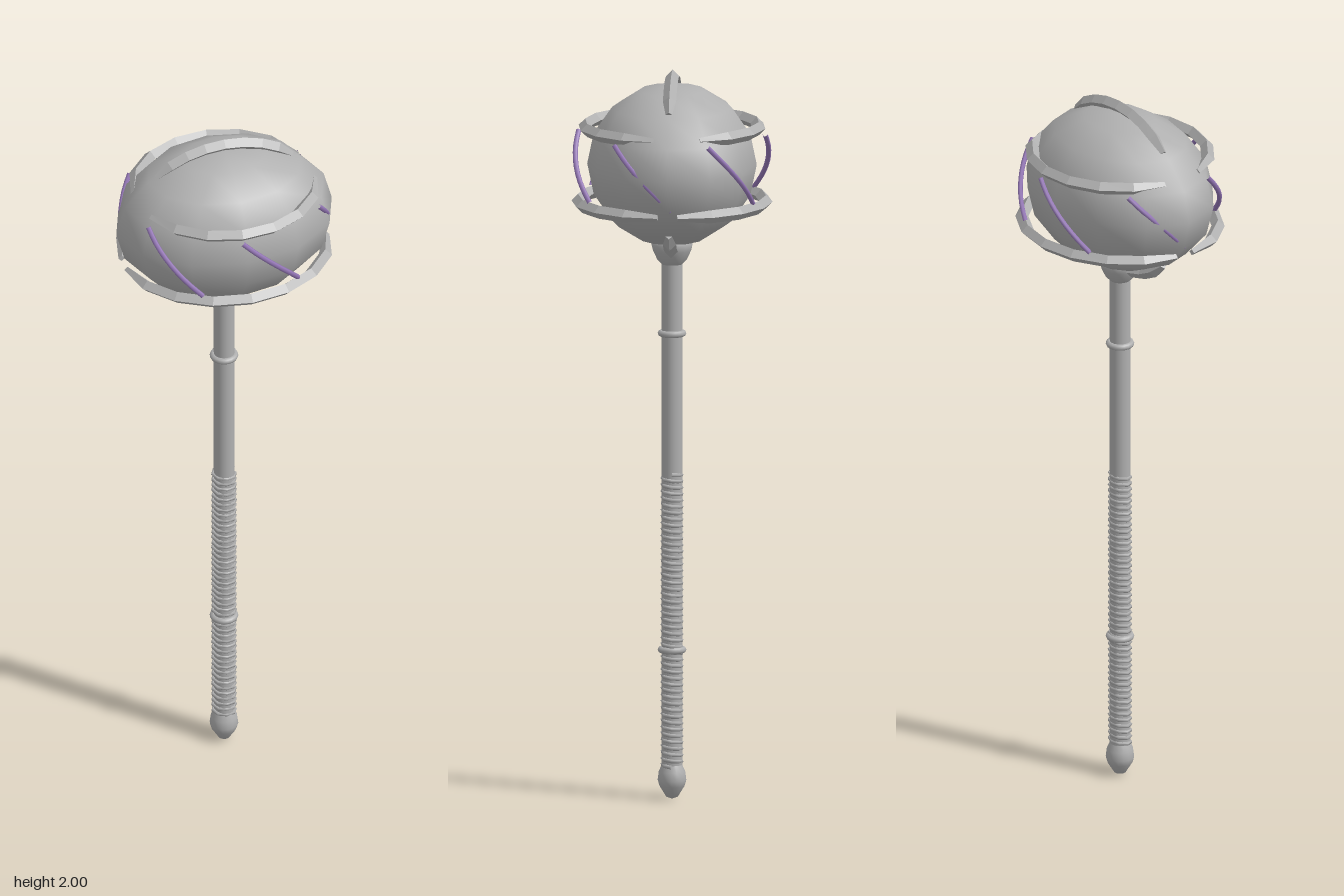
import * as THREE from 'three';

const HEAD_Y = 1.745;

// Ridged band of diamond section along an elliptical arc in the XZ plane (angles from +z, in degrees)
function ridgedArc(a, b, from, to, segments, r = 0.018) {
  const pos = [], idx = [];
  for (let i = 0; i <= segments; i++) {
    const t = THREE.MathUtils.degToRad(from + (to - from) * i / segments);
    const s = Math.sin(t), c = Math.cos(t);
    const w = i === 0 || i === segments ? r * 0.5 : r;
    for (const [out, up] of [[w, 0], [0, w], [-w, 0], [0, -w]]) {
      pos.push((a + out) * s, up, (b + out) * c);
    }
  }
  for (let i = 0; i < segments; i++) {
    for (let k = 0; k < 4; k++) {
      const p = i * 4 + k, q = i * 4 + (k + 1) % 4;
      idx.push(p, p + 4, q, q, p + 4, q + 4);
    }
  }
  const e = segments * 4;
  idx.push(0, 1, 2, 0, 2, 3, e, e + 2, e + 1, e, e + 3, e + 2);
  const indexed = new THREE.BufferGeometry();
  indexed.setAttribute('position', new THREE.Float32BufferAttribute(pos, 3));
  indexed.setIndex(idx);
  const g = indexed.toNonIndexed();
  g.computeVertexNormals();
  return g;
}

function lathe(points, sides = 16) {
  return new THREE.LatheGeometry(points.map(([r, y]) => new THREE.Vector2(r, y)), sides);
}

export function createModel() {
  const model = new THREE.Group();
  model.name = 'mace';
  const steel = new THREE.MeshStandardMaterial({ color: 0xb0b0b0 });
  steel.name = 'steel grey';
  const violet = new THREE.MeshStandardMaterial({ color: 0x9678b8 });
  violet.name = 'violet';

  const add = (name, geometry, material = steel, y = 0, parent = model) => {
    const mesh = new THREE.Mesh(geometry, material);
    mesh.name = name;
    mesh.position.y = y;
    parent.add(mesh);
    return mesh;
  };

  // Handle
  add('shaft', new THREE.CylinderGeometry(0.028, 0.028, 1.45, 16), steel, 0.795);
  add('pommel', lathe([[0, 0], [0.016, 0.006], [0.034, 0.035], [0.039, 0.052], [0.036, 0.075], [0.026, 0.098]]));
  add('collar', lathe([[0.028, 1.47], [0.04, 1.482], [0.052, 1.508], [0.056, 1.525], [0.05, 1.54], [0.03, 1.55]]));
  for (const y of [0.41, 1.28]) {
    const ring = add('handleRing', new THREE.TorusGeometry(0.03, 0.009, 8, 20), steel, y);
    ring.rotation.x = Math.PI / 2;
  }

  // Wound grip, wider across x than z
  const turns = 46, coil = [];
  for (let i = 0; i <= turns * 8; i++) {
    const t = i / 8 * Math.PI * 2;
    coil.push(new THREE.Vector3(0.031 * Math.cos(t), 0.09 + 0.805 * i / (turns * 8), 0.026 * Math.sin(t)));
  }
  add('gripWinding', new THREE.TubeGeometry(new THREE.CatmullRomCurve3(coil), turns * 8, 0.0055, 5));

  // Head
  const head = add('head', new THREE.SphereGeometry(1, 12, 8), steel, HEAD_Y);
  head.scale.set(0.305, 0.22, 0.23);

  // Crest over the head and its twin below
  for (const side of [-1, 1]) {
    const crest = add(side < 0 ? 'topCrest' : 'bottomCrest', ridgedArc(0.27, 0.237, -45, 45, 8), steel, HEAD_Y);
    crest.rotation.x = side * Math.PI / 2;
  }

  // Bands and violet strips, repeated on the back by a half turn
  for (const [name, turn] of [['front', 0], ['back', Math.PI]]) {
    const half = new THREE.Group();
    half.name = name + 'Ornament';
    half.rotation.y = turn;
    model.add(half);
    add('upperBand', ridgedArc(0.247, 0.237, -69, 81, 7), steel, 1.847, half);
    add('lowerBand', ridgedArc(0.283, 0.255, -84, 84, 8), steel, 1.643, half);

    for (const start of [-65, -5, 55]) {
      const path = [];
      for (let i = 0; i <= 6; i++) {
        const u = i / 6, t = THREE.MathUtils.degToRad(start + 37 * u);
        const bulge = 1 + 0.14 * u * (1 - u);
        path.push(new THREE.Vector3(0.272 * bulge * Math.sin(t), 1.832 - 0.172 * u, 0.255 * bulge * Math.cos(t)));
      }
      add('spiralStrip', new THREE.TubeGeometry(new THREE.CatmullRomCurve3(path), 10, 0.007, 6), violet, 0, half);
    }
  }
  return model;
}
